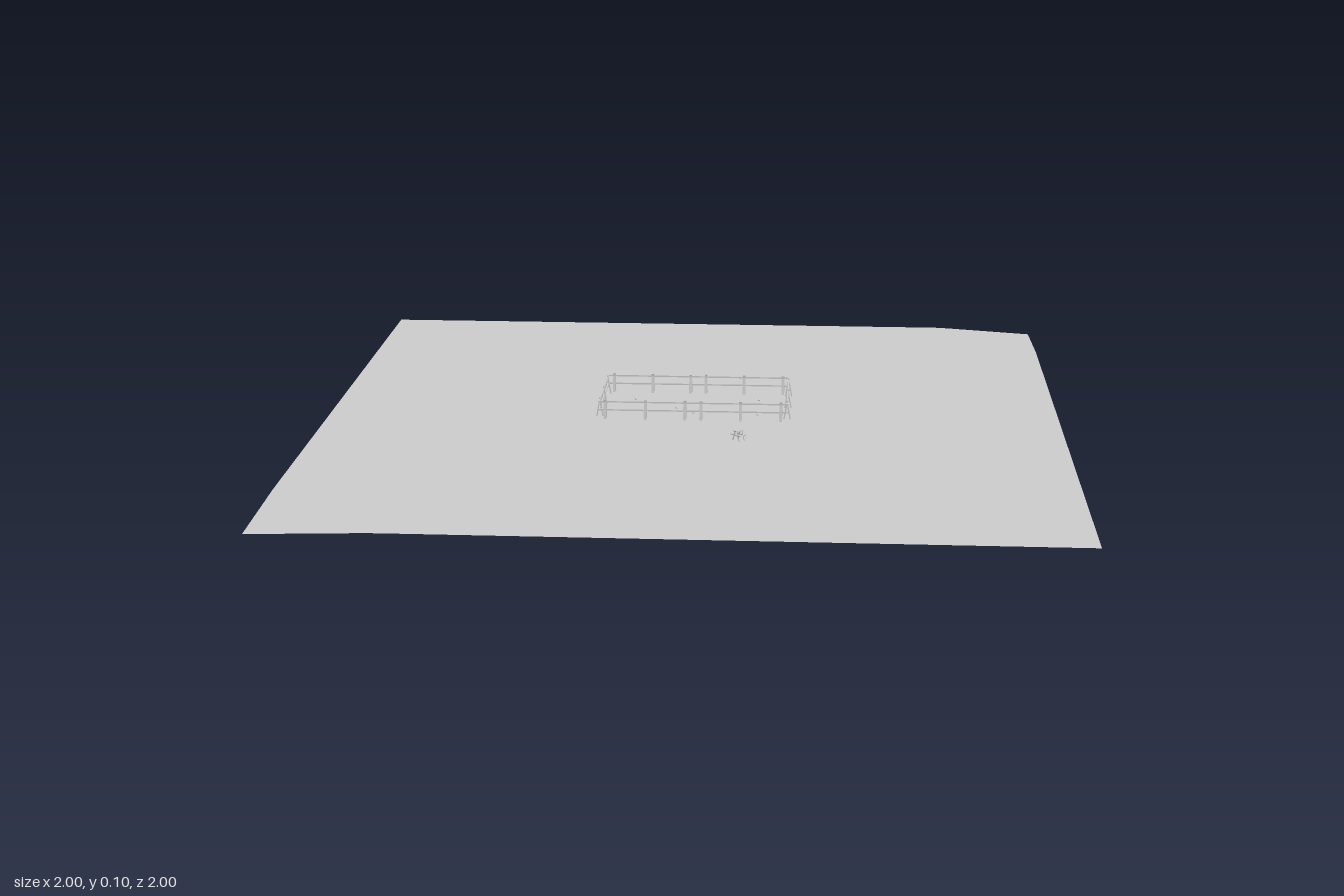
import * as THREE from 'three';

const grey = new THREE.MeshStandardMaterial({ color: 0xcccccc, flatShading: true });
const groundMaterial = new THREE.MeshStandardMaterial({ color: 0xcccccc, side: THREE.DoubleSide });

const GROUND = 0.042;

function box(parent, name, size, position, tilt = 0) {
  const mesh = new THREE.Mesh(new THREE.BoxGeometry(...size), grey);
  mesh.name = name;
  mesh.position.set(...position);
  mesh.rotation.x = tilt;
  parent.add(mesh);
  return mesh;
}

// Level field whose back left and front right corners sag
function makeGround() {
  const geometry = new THREE.PlaneGeometry(2, 2, 48, 48).rotateX(-Math.PI / 2);
  const p = geometry.attributes.position;
  for (let i = 0; i < p.count; i++) {
    const s = p.getX(i) - p.getZ(i);
    const backLeft = 0.017 * Math.max(0, (s - 1.72) / 0.28);
    const frontRight = 0.009 * Math.max(0, (-s - 1.7) / 0.3);
    p.setY(i, GROUND - backLeft - frontRight);
  }
  geometry.computeVertexNormals();
  const mesh = new THREE.Mesh(geometry, groundMaterial);
  mesh.name = 'ground';
  return mesh;
}

// Trestle post: two splayed legs meeting at the rail, set along local x
function makeTrestle() {
  const trestle = new THREE.Group();
  trestle.name = 'fenceTrestle';
  const tilt = Math.atan2(0.016, 0.09);
  for (const side of [-1, 1]) {
    box(trestle, 'trestleLeg', [0.008, 0.096, 0.003], [0, 0.048, side * 0.0075], -side * tilt);
  }
  box(trestle, 'trestleBrace', [0.005, 0.004, 0.012], [0, 0.062, 0]);
  return trestle;
}

// One straight run of fence along local x
function makeFenceSide(name, length, posts) {
  const side = new THREE.Group();
  side.name = name;
  for (const x of posts) {
    const trestle = makeTrestle();
    trestle.position.x = x;
    side.add(trestle);
  }
  box(side, 'topRail', [length, 0.004, 0.004], [0, 0.089, 0]);
  box(side, 'middleRail', [length, 0.004, 0.004], [0, 0.066, 0]);
  return side;
}

function makePen() {
  const pen = new THREE.Group();
  pen.name = 'pen';
  const halfX = 0.257, halfZ = 0.132;
  for (const s of [-1, 1]) {
    const long = makeFenceSide(s > 0 ? 'frontFence' : 'backFence', halfX * 2,
      [-0.24, -0.13, -0.022, 0.022, 0.13, 0.24]);
    long.position.z = s * halfZ;
    const short = makeFenceSide(s > 0 ? 'leftFence' : 'rightFence', halfZ * 2, [-0.112, 0, 0.112]);
    short.position.x = s * halfX;
    short.rotation.y = Math.PI / 2;
    pen.add(long, short);
  }
  pen.position.set(0.002, 0, -0.088);
  return pen;
}

// Small picnic table with a bench on each side
function makeTable() {
  const table = new THREE.Group();
  table.name = 'picnicTable';
  box(table, 'tableTop', [0.028, 0.002, 0.012], [0, 0.028, 0]);
  for (const s of [-1, 1]) {
    box(table, 'bench', [0.028, 0.002, 0.005], [0, 0.017, s * 0.0145]);
    box(table, 'crossBeam', [0.002, 0.002, 0.03], [s * 0.009, 0.015, 0]);
    for (const t of [-1, 1]) {
      box(table, 'tableLeg', [0.002, 0.029, 0.002], [s * 0.009, 0.014, t * 0.008], -t * 0.35);
    }
  }
  table.position.set(0.135, GROUND, 0.226);
  table.rotation.y = Math.PI / 4;
  return table;
}

export function createModel() {
  const model = new THREE.Group();
  model.name = 'paddock';
  model.add(makeGround(), makePen(), makeTable());

  // Little stones scattered inside the pen
  for (const [x, z] of [[-0.17, -0.14], [-0.05, -0.06], [0, -0.015], [0.177, -0.148], [0.177, -0.006]]) {
    const stone = new THREE.Mesh(new THREE.IcosahedronGeometry(0.004, 0), grey);
    stone.name = 'stone';
    stone.position.set(x, GROUND + 0.002, z);
    model.add(stone);
  }
  return model;
}
